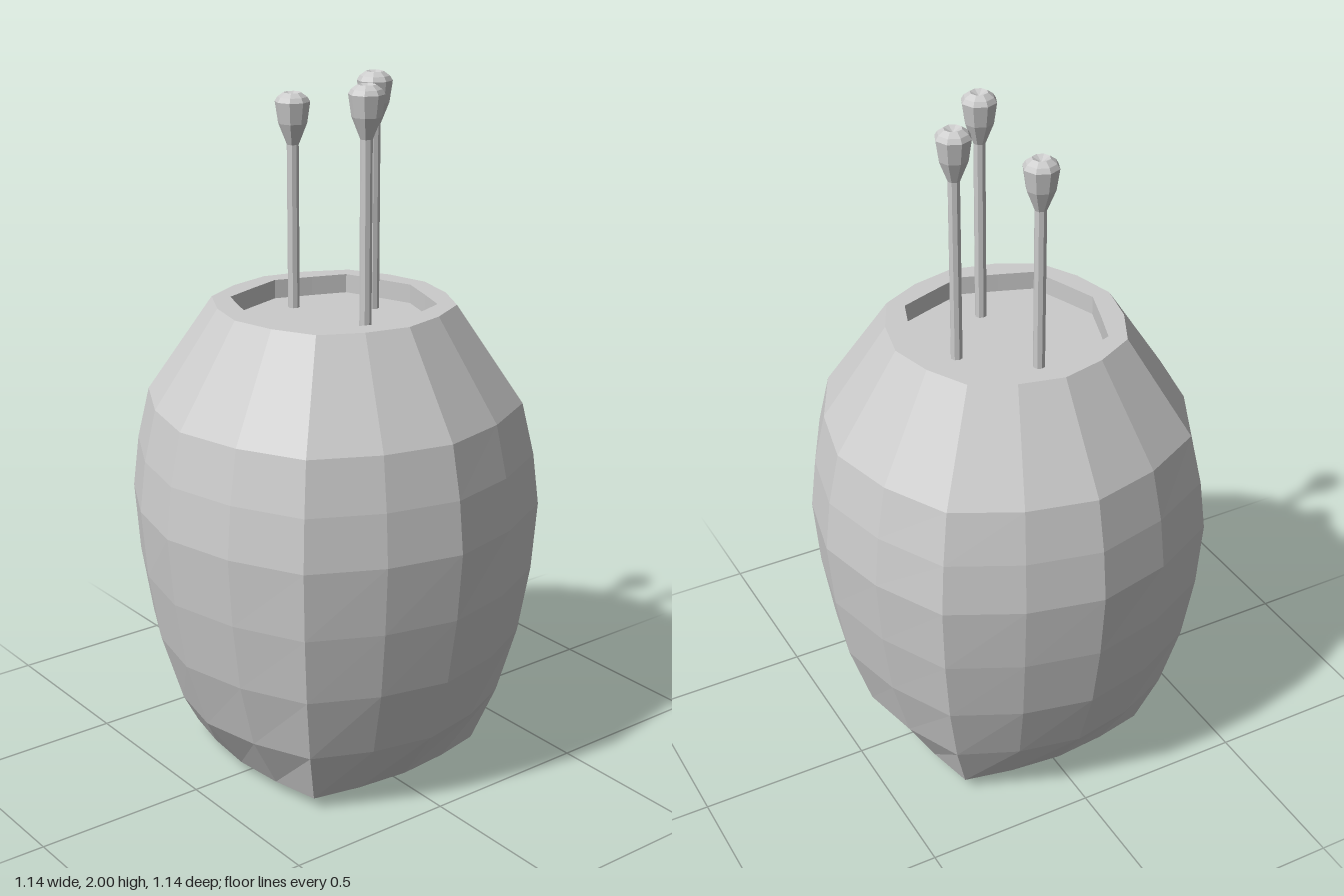
import * as THREE from 'three';

const material = new THREE.MeshStandardMaterial({ color: 0xcccccc, flatShading: true });

// Sixteen-point ring: r = reach along the axes, c = corner coordinate, t = how far the in-between points are pulled in
function ring([y, r, c, t = 0.33]) {
  const a = 0.52 * c, b = r - (r - c) * t;
  let quarter = [[0, r], [a, b], [c, c], [b, a]];
  const points = [];
  for (let q = 0; q < 4; q++) {
    points.push(...quarter.map(([x, z]) => [x, y, z]));
    quarter = quarter.map(([x, z]) => [z, -x]);
  }
  return points;
}

// Skin a stack of rings; the first and last rings may collapse to a point
function skin(rows) {
  const rings = rows.map(ring), position = [], n = 16;
  for (let j = 0; j < rings.length - 1; j++) {
    for (let i = 0; i < n; i++) {
      const k = (i + 1) % n;
      const p = rings[j][i], q = rings[j][k], s = rings[j + 1][k], u = rings[j + 1][i];
      if (rows[j][1] > 0) position.push(...p, ...q, ...s);
      if (rows[j + 1][1] > 0) position.push(...p, ...s, ...u);
    }
  }
  // A collapsed top ring is closed by the first triangle of each quad, a collapsed base by the second
  const geometry = new THREE.BufferGeometry();
  geometry.setAttribute('position', new THREE.Float32BufferAttribute(position, 3));
  geometry.computeVertexNormals();
  return geometry;
}

function lathe(name, profile) {
  const points = profile.map(([r, y]) => new THREE.Vector2(r, y));
  const mesh = new THREE.Mesh(new THREE.LatheGeometry(points, 8), material);
  mesh.name = name;
  return mesh;
}

export function createModel() {
  const model = new THREE.Group();
  model.name = 'podVase';

  // Swollen pot: shallow pointed base, rounded-square sides, flat rim and octagonal recess
  const pot = new THREE.Mesh(skin([
    [0, 0, 0],
    [0.035, 0.34, 0.295],
    [0.2, 0.455, 0.345],
    [0.4, 0.52, 0.385],
    [0.6, 0.553, 0.408],
    [0.8, 0.57, 0.418],
    [0.95, 0.553, 0.405],
    [1.1, 0.52, 0.38],
    [1.38, 0.335, 0.245],
    [1.38, 0.28, 0.207, 0.5],
    [1.325, 0.28, 0.207, 0.5],
    [1.325, 0, 0],
  ]), material);
  pot.name = 'pot';
  model.add(pot);

  // Three thin stems with seed heads: x, z, top height
  for (const [x, z, top] of [[0, 0.145, 2], [0.165, -0.027, 2], [-0.01, -0.173, 1.94]]) {
    const stalk = new THREE.Group();
    stalk.name = 'stalk';
    stalk.position.set(x, 0, z);
    const stem = lathe('stem', [[0.017, 1.32], [0.017, top - 0.13]]);
    const head = lathe('seedHead', [
      [0.017, -0.145], [0.025, -0.125], [0.041, -0.085], [0.05, -0.025],
      [0.042, -0.012], [0.025, 0], [0, -0.012],
    ]);
    head.position.y = top;
    stalk.add(stem, head);
    model.add(stalk);
  }
  return model;
}
